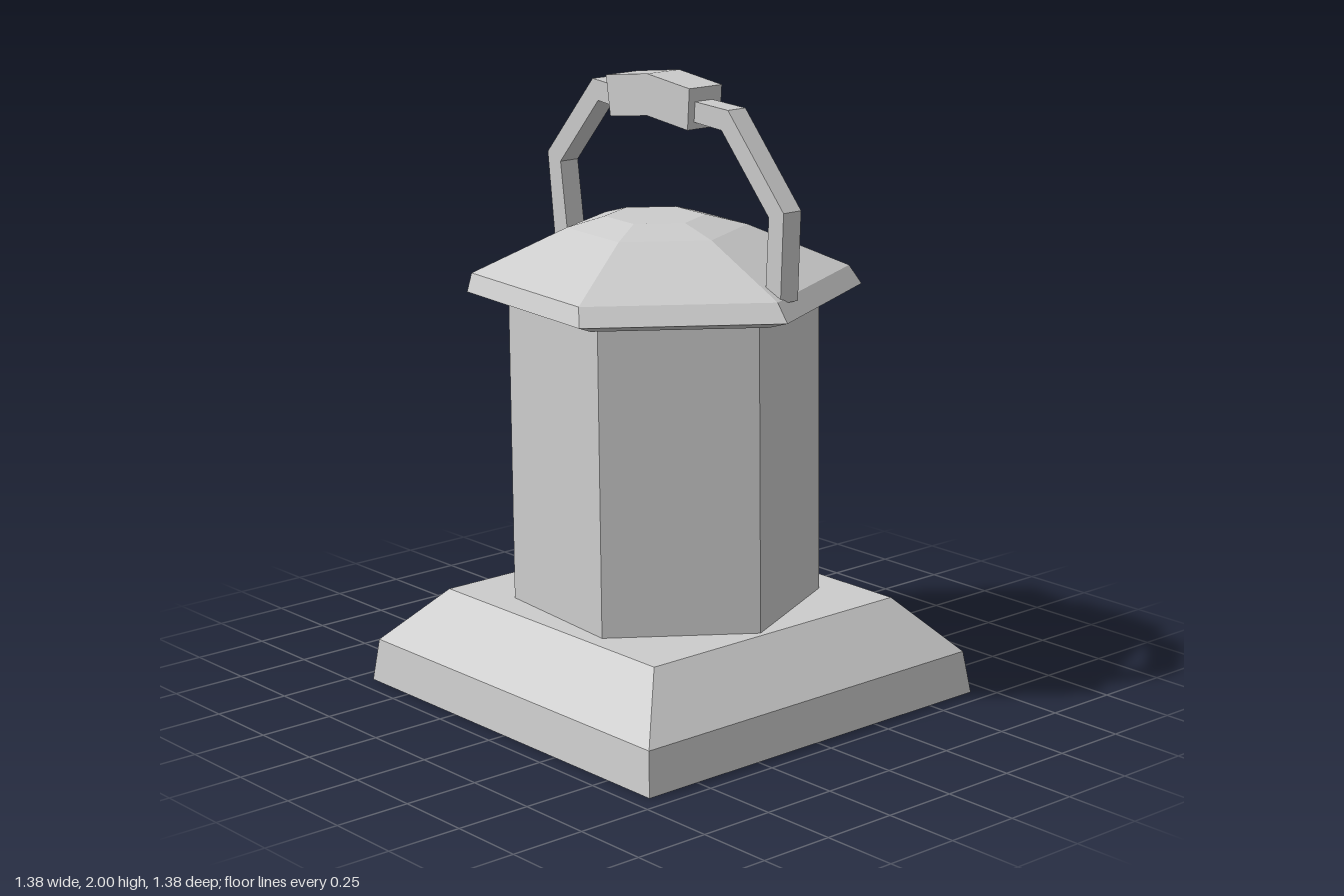
import * as THREE from 'three';

const grey = new THREE.MeshStandardMaterial({ color: 0xcccccc, flatShading: true });
grey.name = 'stoneGrey';

// Closed solid through horizontal polygon rings [y, radius, centreX, centreZ], listed bottom to top
function loft(name, sides, turn, rings) {
  const pos = [];
  const corner = ([y, r, cx, cz], i) => {
    const a = turn + (i / sides) * Math.PI * 2;
    return [cx + r * Math.cos(a), y, cz + r * Math.sin(a)];
  };
  const tri = (a, b, c) => pos.push(...a, ...b, ...c);
  const first = rings[0], last = rings[rings.length - 1];
  for (let i = 0; i < sides; i++) {
    for (let k = 0; k + 1 < rings.length; k++) {
      const a = corner(rings[k], i), b = corner(rings[k], i + 1);
      const c = corner(rings[k + 1], i), d = corner(rings[k + 1], i + 1);
      tri(b, a, c);
      tri(b, c, d);
    }
    tri([first[2], first[0], first[3]], corner(first, i), corner(first, i + 1));
    tri([last[2], last[0], last[3]], corner(last, i + 1), corner(last, i));
  }
  const geo = new THREE.BufferGeometry();
  geo.setAttribute('position', new THREE.Float32BufferAttribute(pos, 3));
  geo.computeVertexNormals();
  const mesh = new THREE.Mesh(geo, grey);
  mesh.name = name;
  return mesh;
}

// Outline in x and y, extruded from z0 to z1
function plate(name, outline, z0, z1) {
  const shape = new THREE.Shape(outline.map(([x, y]) => new THREE.Vector2(x, y)));
  const geo = new THREE.ExtrudeGeometry(shape, { depth: z1 - z0, bevelEnabled: false });
  geo.translate(0, 0, z0);
  const mesh = new THREE.Mesh(geo, grey);
  mesh.name = name;
  return mesh;
}

export function createModel() {
  const model = new THREE.Group();
  model.name = 'lantern';
  const hexTurn = THREE.MathUtils.degToRad(5.6);
  const diag = Math.SQRT2;

  // Square stepped foot
  model.add(loft('base', 4, Math.PI / 4, [
    [0, 0.69 * diag, 0, 0],
    [0.138, 0.672 * diag, -0.004, 0],
    [0.312, 0.507 * diag, -0.014, -0.008],
  ]));

  // Slightly leaning six-sided body
  model.add(loft('body', 6, hexTurn, [
    [0.31, 0.495, -0.018, -0.005],
    [1.295, 0.495, -0.053, -0.023],
  ]));

  // Domed lid with an overhanging rim
  model.add(loft('lid', 6, hexTurn, [
    [1.288, 0.545, -0.055, -0.025],
    [1.315, 0.629, -0.055, -0.029],
    [1.372, 0.602, -0.076, -0.03],
    [1.508, 0.288, -0.098, -0.032],
    [1.54, 0.161, -0.112, -0.035],
  ]));

  // Bent carrying handle
  model.add(plate('handle', [
    [-0.57, 1.39], [-0.605, 1.685], [-0.375, 1.95], [-0.27, 1.94], [-0.08, 1.96], [0.115, 1.932],
    [0.265, 1.923], [0.515, 1.64], [0.505, 1.36],
    [0.438, 1.375], [0.45, 1.618], [0.236, 1.858], [0.11, 1.868], [-0.08, 1.89], [-0.265, 1.872],
    [-0.348, 1.882], [-0.54, 1.66], [-0.505, 1.415],
  ], -0.073, 0.0));

  // Thicker grip around the middle of the handle
  model.add(plate('grip', [
    [-0.278, 1.975], [-0.08, 2.0], [0.118, 1.975],
    [0.11, 1.845], [-0.08, 1.868], [-0.257, 1.845],
  ], -0.109, 0.026));

  return model;
}
